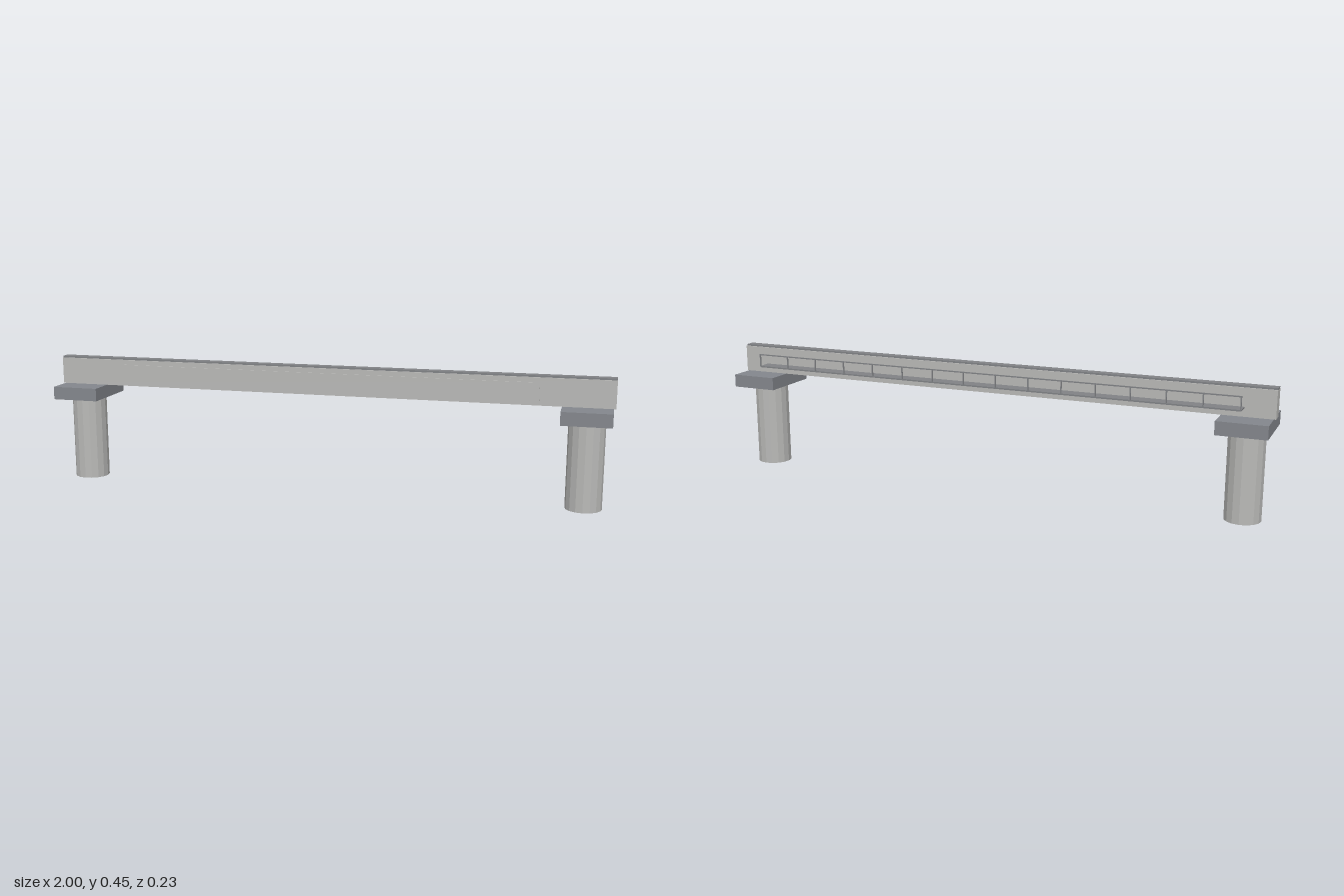
import * as THREE from 'three';

const material = (name, color) => {
  const m = new THREE.MeshStandardMaterial({ color });
  m.name = name;
  return m;
};

export function createModel() {
  const concrete = material('concrete', 0xb9b9b7);
  const pier = material('pierConcrete', 0xb9b9b7);
  pier.flatShading = true;
  const capGrey = material('capGrey', 0x84878d);
  const steel = material('steelGrey', 0x818386);

  const model = new THREE.Group();
  model.name = 'elevatedGuideway';

  // Box given by its extents on each axis
  const box = (parent, name, mat, [x0, x1], [y0, y1], [z0, z1]) => {
    const mesh = new THREE.Mesh(new THREE.BoxGeometry(x1 - x0, y1 - y0, z1 - z0), mat);
    mesh.position.set((x0 + x1) / 2, (y0 + y1) / 2, (z0 + z1) / 2);
    mesh.name = name;
    parent.add(mesh);
  };

  // Supports: round column with a wide cap at each end
  for (const side of [-1, 1]) {
    const support = new THREE.Group();
    support.name = side > 0 ? 'leftSupport' : 'rightSupport';
    support.position.x = side * 0.909;
    const column = new THREE.Mesh(new THREE.CylinderGeometry(0.062, 0.062, 0.305, 16), pier);
    column.position.y = 0.1525;
    column.name = 'column';
    support.add(column);
    box(support, 'columnCap', capGrey, [-0.084, 0.084], [0.305, 0.351], [-0.115, 0.115]);
    model.add(support);
  }

  // Guide beam with running strip on top and a shallow panel on the front
  box(model, 'beam', concrete, [-1, 1], [0.351, 0.446], [-0.023, 0.023]);
  box(model, 'runningStrip', steel, [-1, 1], [0.446, 0.452], [-0.017, 0.017]);
  box(model, 'sidePanel', concrete, [-0.75, 0.75], [0.363, 0.429], [0.023, 0.0265]);

  // Service walkway behind the beam, with posts and handrail
  const walkway = new THREE.Group();
  walkway.name = 'walkway';
  box(walkway, 'walkwayDeck', steel, [-0.9, 0.9], [0.381, 0.386], [-0.082, -0.032]);
  box(walkway, 'handrail', steel, [-0.9, 0.9], [0.427, 0.431], [-0.083, -0.079]);
  const posts = 16;
  for (let i = 0; i < posts; i++) {
    const x = -0.898 + (1.796 * i) / (posts - 1);
    box(walkway, 'railPost', steel, [x - 0.002, x + 0.002], [0.386, 0.427], [-0.083, -0.079]);
  }
  model.add(walkway);

  return model;
}
